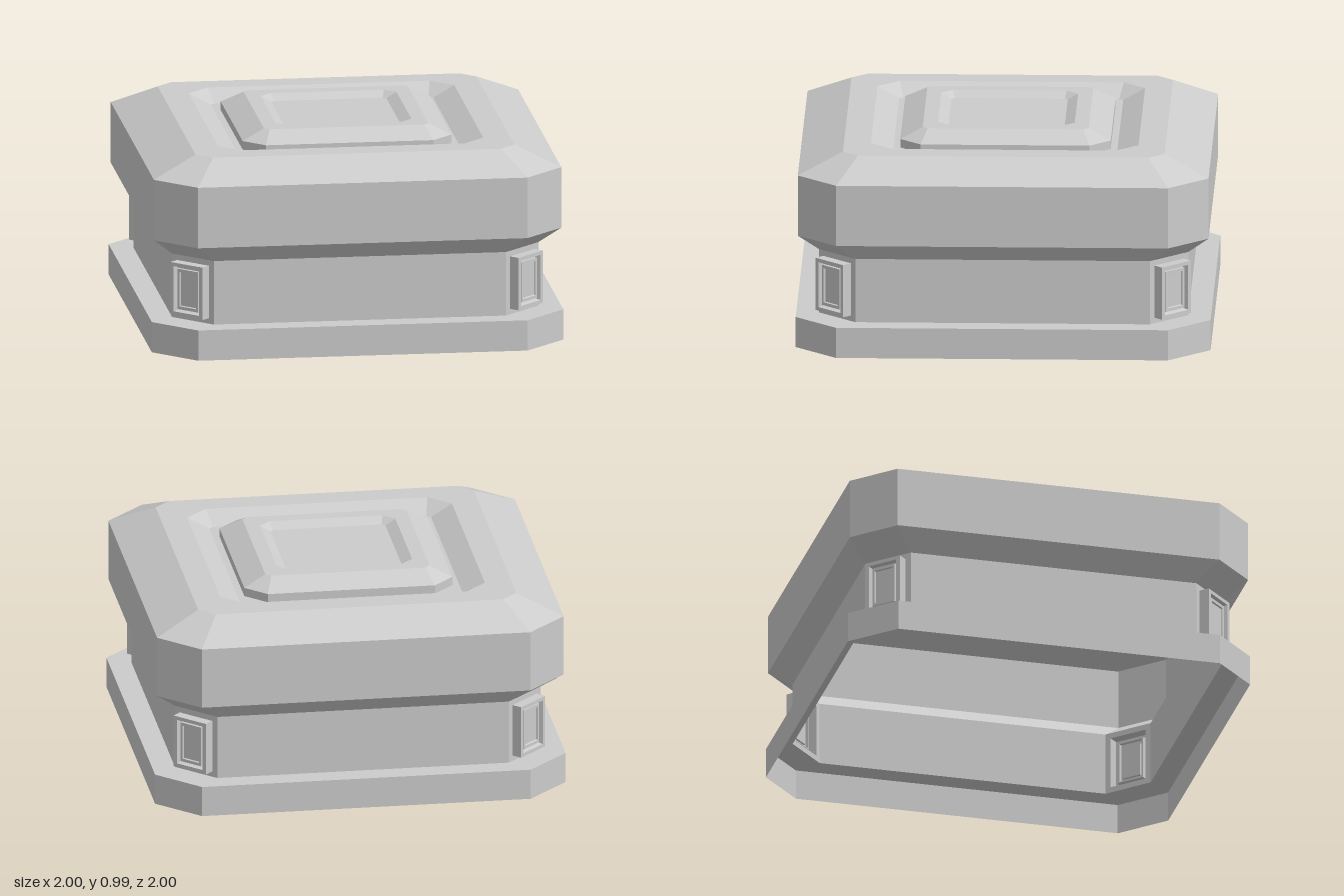
import * as THREE from 'three';

const material = new THREE.MeshStandardMaterial({ color: 0xcccccc, flatShading: true, side: THREE.DoubleSide });

// Square with cut corners: half size h, flat sides reaching to +-a, at height y
const octagon = ([h, a, y]) =>
  [[h, a], [h, -a], [a, -h], [-a, -h], [-h, -a], [-h, a], [-a, h], [a, h]].map(([x, z]) => [x, y, z]);

// Upright rectangle: half width w, half height h, at depth d
const rectangle = ([w, h, d]) => [[-w, -h, d], [w, -h, d], [w, h, d], [-w, h, d]];

// Joins successive rings with flat faces; cap closes the last ring
function loft(name, rings, { cap = false, sidesOnly = false } = {}) {
  const pos = [];
  const tri = (...pts) => pts.forEach((p) => pos.push(...p));
  for (let r = 0; r < rings.length - 1; r++) {
    const lo = rings[r], hi = rings[r + 1], n = lo.length;
    for (let i = 0; i < n; i++) {
      if (sidesOnly && i % 2) continue; // leave the cut corners open
      const j = (i + 1) % n;
      tri(lo[i], lo[j], hi[j]);
      tri(lo[i], hi[j], hi[i]);
    }
  }
  if (cap) {
    const last = rings[rings.length - 1];
    for (let i = 1; i < last.length - 1; i++) tri(last[0], last[i], last[i + 1]);
  }
  const geometry = new THREE.BufferGeometry();
  geometry.setAttribute('position', new THREE.Float32BufferAttribute(pos, 3));
  geometry.computeVertexNormals();
  const mesh = new THREE.Mesh(geometry, material);
  mesh.name = name;
  return mesh;
}

export function createModel() {
  const group = new THREE.Group();
  group.name = 'pedestal';

  // Base rim with its ledge
  group.add(loft('base', [[1, 0.8, 0], [1, 0.8, 0.15], [0.89, 0.71, 0.15]].map(octagon)));

  // Body walls, open at the corners where the corner panels sit
  group.add(loft('bodyWalls', [[0.89, 0.71, 0.15], [0.89, 0.71, 0.465]].map(octagon), { sidesOnly: true }));

  // Overhanging lid with a sloped rim and a groove
  group.add(loft('lid', [
    [0.89, 0.71, 0.465], [0.99, 0.8, 0.555], [0.99, 0.8, 0.855], [0.775, 0.7, 0.95],
    [0.645, 0.54, 0.95], [0.54, 0.52, 0.895], [0.507, 0.407, 0.895],
  ].map(octagon)));

  // Raised centre slab with a shallow recess
  group.add(loft('topSlab', [
    [0.507, 0.407, 0.895], [0.507, 0.407, 0.937], [0.4, 0.375, 0.99],
    [0.33, 0.275, 0.99], [0.28, 0.265, 0.962],
  ].map(octagon), { cap: true }));

  // Corner panels: protruding frame with an inset plate
  for (let k = 0; k < 4; k++) {
    const panel = loft('cornerPanel', [
      [0.1275, 0.1575, 0], [0.097, 0.13, 0], [0.097, 0.13, 0.052], [0.077, 0.112, 0.052],
      [0.07, 0.105, 0.025], [0.062, 0.1, 0.025], [0.062, 0.1, 0.042], [0.05, 0.085, 0.042], [0.047, 0.082, 0.034],
    ].map(rectangle), { cap: true });
    const angle = Math.PI / 4 + k * Math.PI / 2;
    const reach = 0.8 * Math.SQRT2;
    panel.rotation.y = angle;
    panel.position.set(Math.sin(angle) * reach, 0.3075, Math.cos(angle) * reach);
    group.add(panel);
  }
  return group;
}
